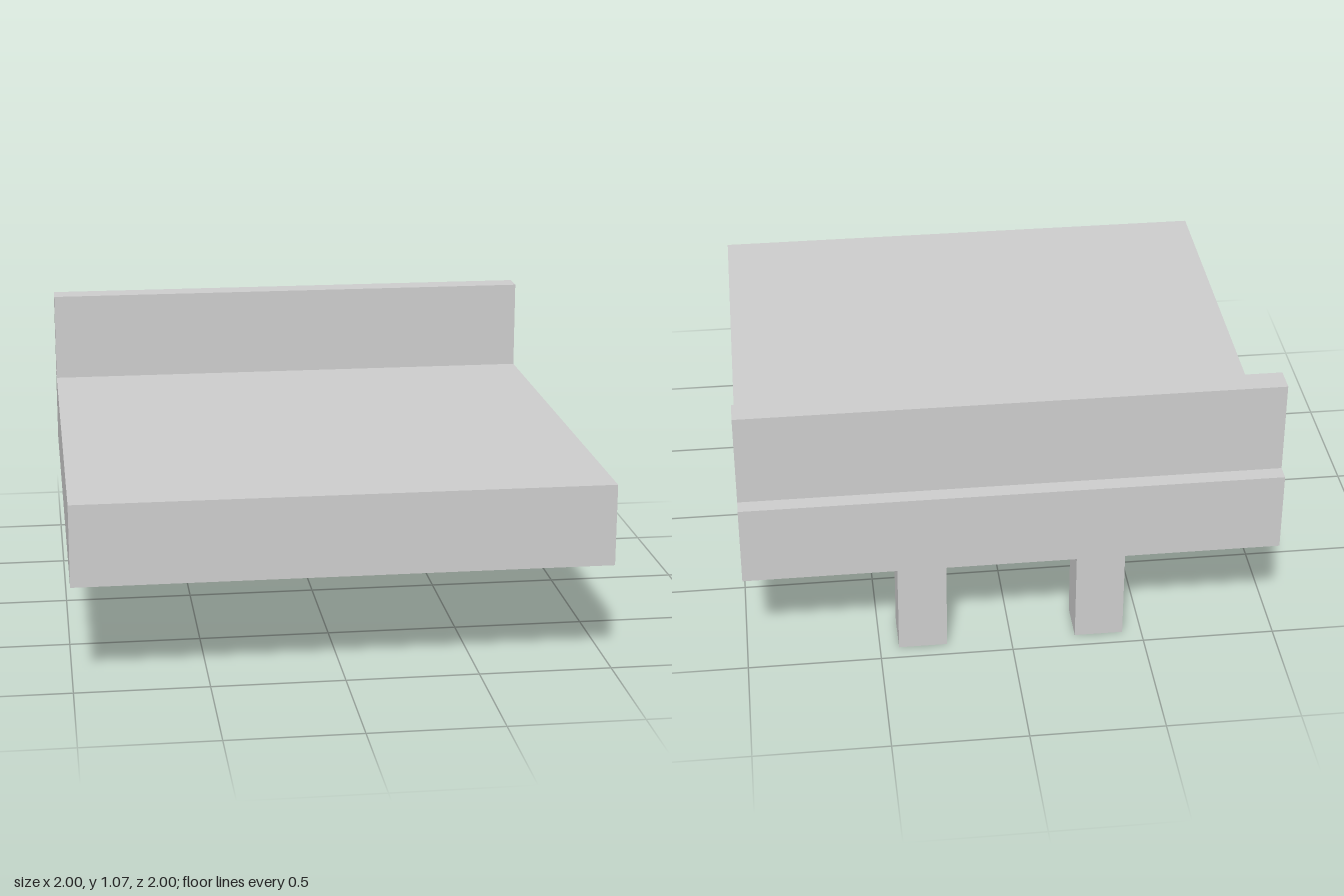
import * as THREE from 'three';

export function createModel() {
  const group = new THREE.Group();
  const material = new THREE.MeshStandardMaterial({ color: 0xcccccc, flatShading: true });

  // Box given by its extents along each axis
  function addBox(name, [x0, x1], [y0, y1], [z0, z1]) {
    const mesh = new THREE.Mesh(new THREE.BoxGeometry(x1 - x0, y1 - y0, z1 - z0), material);
    mesh.position.set((x0 + x1) / 2, (y0 + y1) / 2, (z0 + z1) / 2);
    mesh.name = name;
    group.add(mesh);
  }

  // Thick square slab and the upright board near its back edge
  addBox('slab', [-1, 1], [0.405, 0.715], [-1, 1]);
  addBox('backBoard', [-1, 1], [0.715, 1.07], [-0.94, -0.842]);

  // Two short legs under the back
  addBox('leftLeg', [0.245, 0.428], [0, 0.405], [-0.94, -0.777]);
  addBox('rightLeg', [-0.428, -0.245], [0, 0.405], [-0.94, -0.777]);

  return group;
}
